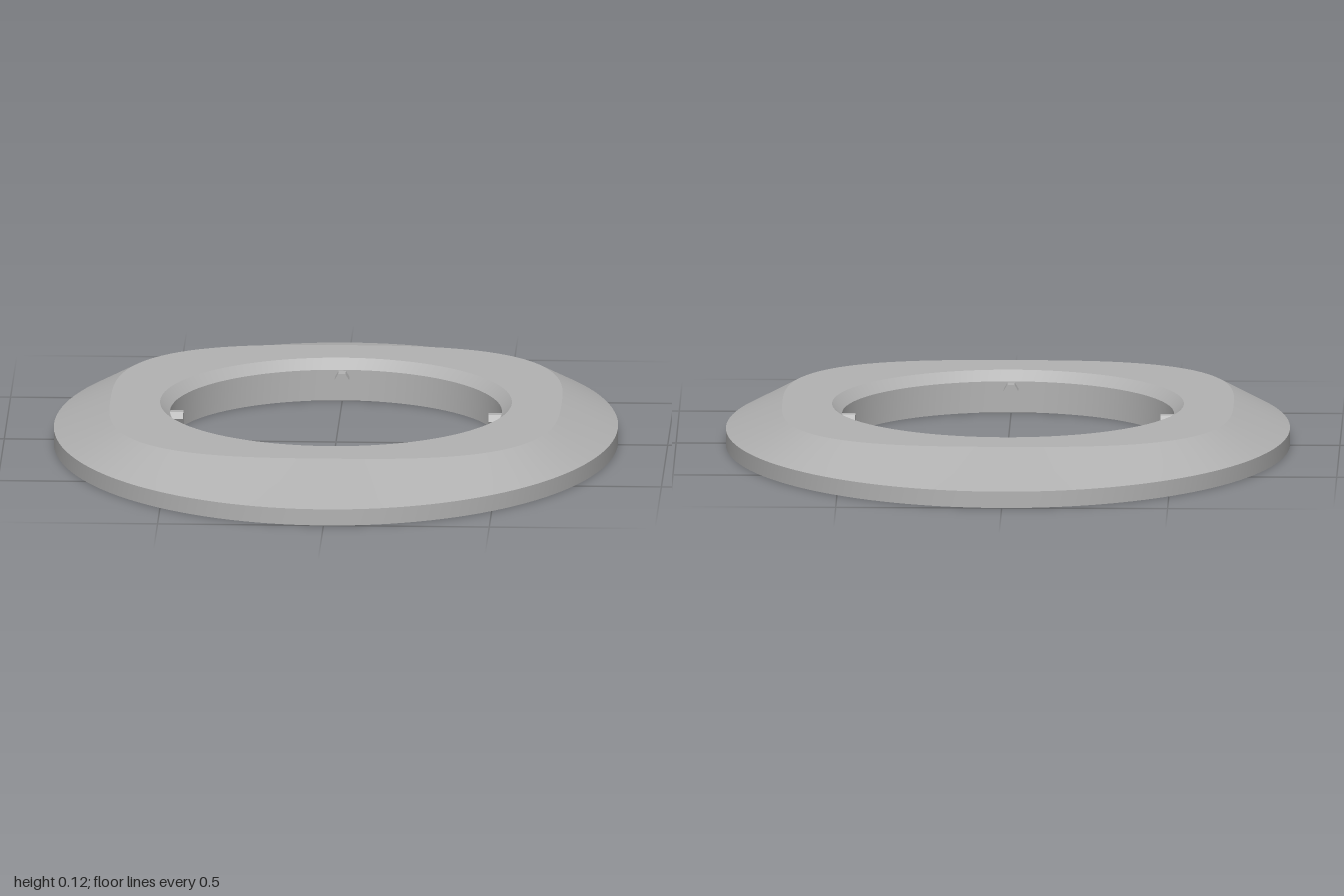
import * as THREE from 'three';

const SEG = 128;
const grey = new THREE.MeshStandardMaterial({ color: 0xb2b2b2 });
grey.name = 'grey';

// Closed loop of [x, z] points from a rule r(t)
const loop = (rule, n = SEG) => Array.from({ length: n }, (_, i) => rule((i / n) * Math.PI * 2));
const circle = (r, cx = 0, cz = 0) => (t) => [cx + r * Math.cos(t), cz + r * Math.sin(t)];

// Band of quads joining loop a at height ya to loop b at height yb
function band(a, ya, b, yb, sharp = false) {
  const n = a.length, pos = [], idx = [];
  a.forEach(([x, z]) => pos.push(x, ya, z));
  b.forEach(([x, z]) => pos.push(x, yb, z));
  for (let i = 0; i < n; i++) {
    const j = (i + 1) % n;
    idx.push(i, n + i, j, n + i, n + j, j);
  }
  let g = new THREE.BufferGeometry();
  g.setAttribute('position', new THREE.Float32BufferAttribute(pos, 3));
  g.setIndex(idx);
  if (sharp) g = g.toNonIndexed();
  g.computeVertexNormals();
  return g;
}

// Flat face looking down at height y, with optional holes
function downFace(outline, y, holes = []) {
  const v = (pts) => pts.map(([x, z]) => new THREE.Vector2(x, z));
  const shape = new THREE.Shape(v(outline));
  holes.forEach((h) => shape.holes.push(new THREE.Path(v(h))));
  return new THREE.ShapeGeometry(shape).rotateX(Math.PI / 2).translate(0, y, 0);
}

export function createModel() {
  const model = new THREE.Group();
  model.name = 'bezelRing';
  const add = (name, geo, parent = model) => {
    const m = new THREE.Mesh(geo, grey);
    m.name = name;
    parent.add(m);
    return m;
  };

  // Outlines: oval rim, rounded-square plateau, round opening
  const oval = loop((t) => [0.85 * Math.cos(t), Math.sin(t)]);
  const plateau = loop((t) => {
    const a = Math.atan2(Math.sin(t), 0.85 * Math.cos(t));
    const c = Math.cos(a), s = Math.sin(a);
    const r = 0.68 / Math.pow(Math.abs(c) ** 3 + Math.abs(s) ** 3, 1 / 3);
    return [r * c, r * s];
  });
  const lip = loop(circle(0.53));
  const bore = loop(circle(0.5));

  // Body surfaces
  add('outerRim', band(oval, 0, oval, 0.05));
  add('slopedFace', band(oval, 0.05, plateau, 0.125));
  add('topFace', band(plateau, 0.125, lip, 0.125));
  add('innerChamfer', band(lip, 0.125, bore, 0.095));
  add('innerWall', band(bore, 0.095, bore, 0));

  // Recesses in the underside: four round holes and a direction mark
  const pits = [];
  for (const x of [-0.45, 0.45])
    for (const z of [-0.45, 0.45])
      pits.push({ name: 'screwHole', pts: loop(circle(0.032, x, z), 24), depth: 0.06 });
  pits.push({ name: 'directionMark', pts: [[0.7, 0], [0.59, 0.055], [0.59, -0.055]], depth: 0.02, sharp: true });

  add('underside', downFace(oval, 0, [bore, ...pits.map((p) => p.pts)]));
  for (const p of pits) {
    const g = new THREE.Group();
    g.name = p.name;
    add(p.name + 'Wall', band(p.pts, p.depth, p.pts, 0, p.sharp), g);
    add(p.name + 'End', downFace(p.pts, p.depth), g);
    model.add(g);
  }

  // Four locating pegs pointing into the opening
  for (let i = 0; i < 4; i++) {
    const geo = new THREE.CylinderGeometry(0.022, 0.022, 0.05, 6).toNonIndexed();
    geo.computeVertexNormals();
    geo.rotateZ(Math.PI / 2).translate(0.485, 0.073, 0).rotateY((i * Math.PI) / 2);
    add('peg', geo);
  }
  return model;
}
